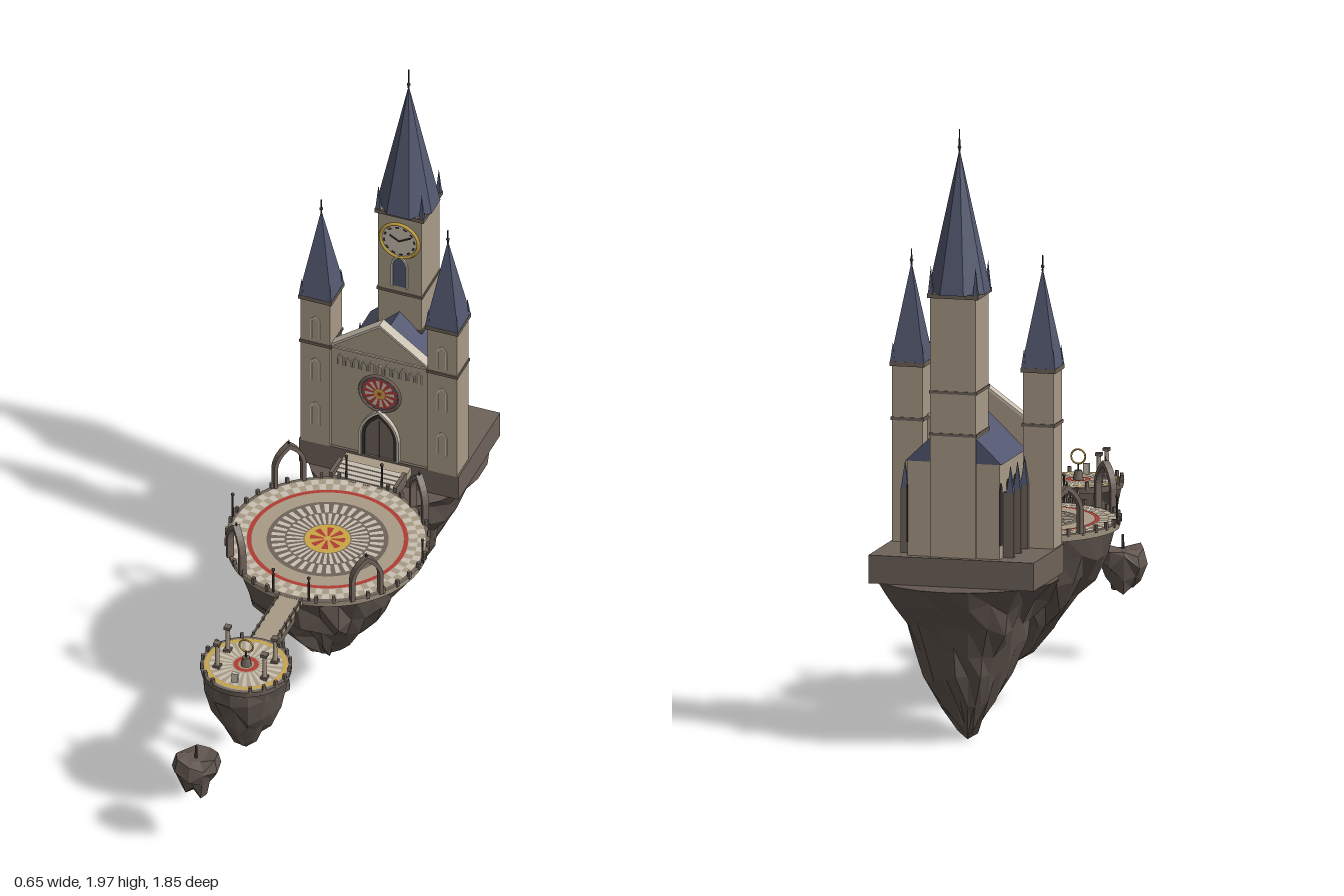
import * as THREE from 'three';
import { mergeGeometries } from 'three/addons/utils/BufferGeometryUtils.js';

const mat = (name, color, side = THREE.FrontSide) => {
  const m = new THREE.MeshStandardMaterial({ color, side });
  m.name = name;
  return m;
};
const stone = mat('tan stone', 0xa99c87);
const light = mat('pale stone', 0xc9c0b1);
const trim = mat('brown stone', 0x6f635a);
const rock = mat('rock', 0x625750);
const slate = mat('slate', 0x535870);
const red = mat('red', 0xb03c34);
const gold = mat('gold', 0xc9a545);
const dark = mat('dark iron', 0x35312f);

function add(parent, name, geo, material, x = 0, y = 0, z = 0) {
  const m = new THREE.Mesh(geo, material);
  m.name = name;
  m.position.set(x, y, z);
  parent.add(m);
  return m;
}
function group(parent, name, x = 0, y = 0, z = 0) {
  const g = new THREE.Group();
  g.name = name;
  g.position.set(x, y, z);
  parent.add(g);
  return g;
}
// Box given by its bottom centre
const box = (w, h, d) => new THREE.BoxGeometry(w, h, d).translate(0, h / 2, 0);
const cyl = (rt, rb, h, n = 8) => new THREE.CylinderGeometry(rt, rb, h, n).translate(0, h / 2, 0);
function faceted(geo) {
  const g = geo.toNonIndexed();
  g.computeVertexNormals();
  return g;
}
const cone = (r, h, n = 8, turn = 0) => faceted(new THREE.ConeGeometry(r, h, n).rotateY(turn).translate(0, h / 2, 0));

// Jagged hanging rock from a bottom-to-top profile; the top rim stays round
function hangingRock(profile, n, seed, rough) {
  const pts = [...profile.map(p => new THREE.Vector2(...p)), new THREE.Vector2(0, profile.at(-1)[1])];
  const geo = new THREE.LatheGeometry(pts, n), p = geo.attributes.position;
  const rnd = (a, b) => { const s = Math.sin(a * 127.1 + b * 311.7 + seed * 74.7) * 43758.5; return s - Math.floor(s) - 0.5; };
  for (let i = 0; i < p.count; i++) {
    const j = i % pts.length, k = Math.floor(i / pts.length) % n;
    if (j === 0 || j >= pts.length - 2) continue;
    const f = 1 + rough * (rnd(k, j) + 0.6 * rnd(Math.floor(k / 3), 50));
    p.setXYZ(i, p.getX(i) * f, p.getY(i) + rnd(k, j + 20) * 0.045, p.getZ(i) * f);
  }
  return faceted(geo);
}

// Flat rings and radial tiles for paving
const ring = (r0, r1, n = 64) => new THREE.RingGeometry(r0, r1, n);
function tiles(r0, r1, count, phase = 0) {
  const step = Math.PI * 2 / count;
  return mergeGeometries(Array.from({ length: count }, (_, i) =>
    new THREE.RingGeometry(r0, r1, 2, 1, (i + phase) * step, step / 2)));
}
const flat = (g, name, geo, material, y) => add(g, name, geo.rotateX(-Math.PI / 2), material, 0, y);

// Pointed arches: filled panel and open frame
function lancet(w, h) {
  const s = new THREE.Shape(), k = h - w * 1.5;
  s.moveTo(-w, 0);
  s.lineTo(w, 0);
  s.lineTo(w, k);
  s.quadraticCurveTo(w * 0.9, k + w * 0.9, 0, h);
  s.quadraticCurveTo(-w * 0.9, k + w * 0.9, -w, k);
  return s;
}
function archFrame(w, h, t, depth) {
  const s = new THREE.Shape(), v = w - t, k = h - w * 1.5, top = h - t * 1.4;
  s.moveTo(-w, 0);
  s.lineTo(-v, 0);
  s.lineTo(-v, k);
  s.quadraticCurveTo(-v * 0.9, k + v * 0.9, 0, top);
  s.quadraticCurveTo(v * 0.9, k + v * 0.9, v, k);
  s.lineTo(v, 0);
  s.lineTo(w, 0);
  s.lineTo(w, k);
  s.quadraticCurveTo(w * 0.9, k + w * 0.9, 0, h);
  s.quadraticCurveTo(-w * 0.9, k + w * 0.9, -w, k);
  return new THREE.ExtrudeGeometry(s, { depth, bevelEnabled: false, curveSegments: 6 });
}
const extrude = (s, depth) => new THREE.ExtrudeGeometry(s, { depth, bevelEnabled: false, curveSegments: 6 });
const poly = pts => new THREE.Shape(pts.map(p => new THREE.Vector2(...p)));

// Steep spire with corner pinnacles and finial
function spire(parent, x, y, z, r, h, n, half) {
  const g = group(parent, 'spire', x, y, z);
  add(g, 'cornice', box(half * 2 + 0.012, 0.014, half * 2 + 0.012), trim, 0, -0.012);
  add(g, 'spireRoof', cone(r, h, n, Math.PI / n), slate);
  add(g, 'finial', cyl(0.002, 0.003, h * 0.16, 6), dark, 0, h - 0.01);
  add(g, 'finialBall', new THREE.SphereGeometry(0.006, 8, 6), dark, 0, h + 0.005);
  for (const sx of [-1, 1]) for (const sz of [-1, 1])
    add(g, 'pinnacle', cone(0.011, h * 0.2, 4, Math.PI / 4), slate, sx * half * 0.95, 0, sz * half * 0.95);
}

function cathedral(root) {
  const c = group(root, 'cathedral');
  add(c, 'plinth', box(0.54, 0.09, 0.355), trim, 0, 0.527, -0.653);
  // Nave and gabled roof
  add(c, 'nave', box(0.3, 0.31, 0.3), stone, 0, 0.615, -0.65);
  add(c, 'naveRoof', extrude(poly([[-0.157, 0.92], [0.157, 0.92], [0, 1.07]]), 0.3), slate, 0, 0, -0.802);
  for (const s of [-1, 1]) for (const z of [-0.585, -0.668, -0.75]) {
    add(c, 'buttress', box(0.034, 0.21, 0.018), trim, s * 0.167, 0.615, z);
    add(c, 'buttressCap', cone(0.016, 0.09, 4, Math.PI / 4), slate, s * 0.172, 0.822, z);
    add(c, 'naveWindow', extrude(lancet(0.013, 0.2), 0.004).rotateY(s * Math.PI / 2), dark, s * 0.149, 0.66, z - 0.04);
  }
  // Front wall with gable
  add(c, 'frontWall', extrude(poly([[-0.17, 0.615], [0.17, 0.615], [0.17, 1.01], [0, 1.13], [-0.17, 1.01]]), 0.03), stone, 0, 0, -0.515);
  for (const s of [-1, 1])
    add(c, 'gableCoping', extrude(poly(s > 0 ? [[0.165, 1.008], [0.165, 1.018], [0, 1.138], [0, 1.128]]
      : [[-0.165, 1.008], [0, 1.128], [0, 1.138], [-0.165, 1.018]]), 0.036), light, 0, 0, -0.517);
  add(c, 'wallBand', box(0.33, 0.006, 0.006), light, 0, 1.006, -0.483);
  for (let i = 0; i < 11; i++)
    add(c, 'arcadeArch', archFrame(0.011, i % 2 ? 0.034 : 0.042, 0.004, 0.005), light, (i - 5) * 0.0265, 0.945, -0.486);
  // Rose window
  const rose = group(c, 'roseWindow', 0, 0.865, -0.484);
  add(rose, 'roseFrame', new THREE.TorusGeometry(0.067, 0.006, 6, 32), trim);
  add(rose, 'roseGlass', new THREE.CircleGeometry(0.066, 32), red, 0, 0, 0.001);
  add(rose, 'roseTracery', tiles(0.022, 0.05, 12), light, 0, 0, 0.0025);
  add(rose, 'roseBorder', tiles(0.053, 0.062, 16), slate, 0, 0, 0.0025);
  add(rose, 'roseHub', ring(0.008, 0.02, 16), gold, 0, 0, 0.003);
  // Portal
  add(c, 'portalDoor', extrude(lancet(0.05, 0.155), 0.004), trim, 0, 0.616, -0.486);
  add(c, 'portalArch', archFrame(0.068, 0.187, 0.008, 0.016), light, 0, 0.616, -0.486);
  add(c, 'portalInnerArch', archFrame(0.058, 0.17, 0.009, 0.01), dark, 0, 0.616, -0.486);
  add(c, 'doorSeam', box(0.004, 0.14, 0.003), dark, 0, 0.616, -0.481);
  // Flanking towers
  for (const s of [-1, 1]) {
    const t = group(c, 'sideTower', s * 0.214, 0, -0.525);
    add(t, 'towerBody', box(0.1, 0.575, 0.1), stone, 0, 0.615);
    add(t, 'towerBand', box(0.107, 0.01, 0.107), trim, 0, 1.005);
    for (const y of [0.69, 0.865, 1.03])
      add(t, 'towerWindow', archFrame(0.017, 0.09, 0.005, 0.005), light, 0, y, 0.048);
    spire(t, 0, 1.19, 0, 0.078, 0.315, 4, 0.05);
  }
  // Clock tower
  const k = group(c, 'clockTower', 0, 0, -0.731);
  add(k, 'clockTowerBody', box(0.148, 0.845, 0.154), stone, 0, 0.615);
  for (const y of [1.005, 1.14]) add(k, 'clockTowerBand', box(0.155, 0.009, 0.161), trim, 0, y);
  add(k, 'belfryWindow', extrude(lancet(0.022, 0.115), 0.004), slate, 0, 1.17, 0.075);
  add(k, 'belfryFrame', archFrame(0.028, 0.128, 0.006, 0.008), light, 0, 1.167, 0.075);
  add(k, 'clockFace', new THREE.CircleGeometry(0.062, 32), light, 0, 1.352, 0.08);
  add(k, 'clockRim', new THREE.TorusGeometry(0.064, 0.006, 6, 32), gold, 0, 1.352, 0.079);
  add(k, 'hourMarks', tiles(0.048, 0.055, 12), dark, 0, 1.352, 0.0815);
  for (const [a, l] of [[1.05, 0.036], [-1.05, 0.046]])
    add(k, 'clockHand', box(0.005, l, 0.002), dark, 0, 1.352, 0.083).rotation.z = a;
  spire(k, 0, 1.457, 0, 0.1, 0.455, 8, 0.077);
}

function lampPost(parent, x, y, z, h = 0.09) {
  add(parent, 'lampPost', cyl(0.003, 0.004, h, 6), dark, x, y, z);
  add(parent, 'lamp', new THREE.SphereGeometry(0.006, 8, 6), dark, x, y + h, z);
}
// Ring of low posts around a round terrace
function parapet(g, r, n, y, gap) {
  for (let i = 0; i < n; i++) {
    const a = (i + 0.5) / n * Math.PI * 2, x = r * Math.sin(a);
    if (Math.abs(x) > gap) add(g, 'parapetPost', box(0.01, 0.026, 0.01), trim, x, y, r * Math.cos(a)).rotation.y = a;
  }
}

function plaza(root) {
  const p = group(root, 'plaza', 0, 0, -0.037);
  add(p, 'plazaDeck', cyl(0.322, 0.318, 0.022, 64), stone, 0, 0.585);
  flat(p, 'deckEdge', ring(0.309, 0.322), trim, 0.6085);
  flat(p, 'checkerOuter', tiles(0.283, 0.308, 40), light, 0.6085);
  flat(p, 'checkerInner', tiles(0.256, 0.283, 40, 0.5), light, 0.6085);
  flat(p, 'redRing', ring(0.24, 0.254), red, 0.6085);
  flat(p, 'mosaicBed', new THREE.CircleGeometry(0.192, 64), trim, 0.6085);
  flat(p, 'outerRays', tiles(0.135, 0.178, 36), light, 0.61);
  flat(p, 'innerRays', tiles(0.076, 0.13, 36, 0.5), light, 0.61);
  flat(p, 'sunDisc', new THREE.CircleGeometry(0.073, 40), gold, 0.61);
  flat(p, 'sunRays', tiles(0.012, 0.056, 8), red, 0.6115);
  parapet(p, 0.319, 36, 0.6, 0.07);
  for (const sx of [-1, 1]) {
    lampPost(p, sx * 0.321, 0.605, 0);
    for (const sz of [-1, 1]) {
      lampPost(p, sx * 0.06, 0.605, sz * 0.313);
      // Free-standing arches face the centre
      const a = group(p, 'gardenArch', sx * 0.22, 0.606, sz * 0.226);
      a.rotation.y = Math.atan2(sx, sz);
      add(a, 'archFrame', archFrame(0.055, 0.16, 0.013, 0.022), trim, 0, 0, -0.011);
      add(a, 'archTip', cone(0.005, 0.02, 4), dark, 0, 0.155);
    }
  }
}

function terrace(root) {
  const t = group(root, 'smallTerrace', 0, 0, 0.66);
  add(t, 'terraceDeck', cyl(0.145, 0.142, 0.02, 40), trim, 0, 0.59);
  flat(t, 'terracePaving', new THREE.CircleGeometry(0.134, 40), stone, 0.6115);
  flat(t, 'goldRing', ring(0.118, 0.13, 40), gold, 0.613);
  flat(t, 'terraceRays', tiles(0.045, 0.115, 24), light, 0.613);
  flat(t, 'terraceRedRing', ring(0.025, 0.04, 32), red, 0.613);
  parapet(t, 0.14, 20, 0.602, 0.045);
  for (const sx of [-1, 1]) for (const sz of [-1, 1]) {
    const c = group(t, 'column', sx * 0.08, 0.611, sz * 0.045);
    add(c, 'columnBase', box(0.022, 0.01, 0.022), trim);
    add(c, 'columnShaft', cyl(0.007, 0.008, 0.08), stone, 0, 0.01);
    add(c, 'columnCap', box(0.021, 0.01, 0.021), trim, 0, 0.088);
  }
  add(t, 'pedestal', cyl(0.012, 0.018, 0.03), trim, 0, 0.611);
  add(t, 'dialStem', cyl(0.003, 0.003, 0.025, 6), dark, 0, 0.64);
  add(t, 'dialRing', new THREE.TorusGeometry(0.023, 0.003, 6, 24), gold, 0, 0.685);
  add(t, 'bench', box(0.02, 0.035, 0.012), light, 0, 0.611, 0.095);
}

export function createModel() {
  const root = new THREE.Group();
  root.name = 'floatingCathedral';
  // Floating islands
  add(root, 'cathedralRock', hangingRock([[0, 0.008], [0.035, 0.05], [0.085, 0.13], [0.135, 0.22], [0.17, 0.31], [0.205, 0.39], [0.25, 0.46], [0.29, 0.527]], 22, 1, 0.22), rock, 0, 0, -0.638);
  add(root, 'plazaRock', hangingRock([[0, 0.155], [0.05, 0.2], [0.11, 0.27], [0.175, 0.35], [0.225, 0.43], [0.26, 0.51], [0.305, 0.586]], 24, 2, 0.22), rock, 0, 0, -0.037);
  add(root, 'terraceRock', hangingRock([[0, 0.285], [0.04, 0.325], [0.075, 0.4], [0.105, 0.47], [0.125, 0.54], [0.138, 0.592]], 15, 3, 0.22), rock, 0, 0, 0.66);
  add(root, 'looseRock', hangingRock([[0, 0.235], [0.038, 0.24], [0.055, 0.28], [0.075, 0.325], [0.066, 0.352], [0.03, 0.36]], 9, 4, 0.12), rock, -0.09, 0, 0.855);
  add(root, 'looseRockPost', cyl(0.004, 0.005, 0.05, 6), dark, -0.09, 0.355, 0.86);
  cathedral(root);
  plaza(root);
  terrace(root);
  // Steps up to the cathedral
  add(root, 'landing', box(0.22, 0.028, 0.14), stone, 0, 0.58, -0.41);
  for (let i = 0; i < 4; i++) add(root, 'step', box(0.2, 0.004, 0.075 - i * 0.018), light, 0, 0.608 + i * 0.003, -0.385 - i * 0.009);
  for (const s of [-1, 1]) add(root, 'stepWall', box(0.012, 0.045, 0.085), trim, s * 0.108, 0.582, -0.38);
  // Bridge with posts, beam and hanging rock spikes
  add(root, 'bridgeDeck', box(0.08, 0.018, 0.26), stone, 0, 0.588, 0.4);
  for (const s of [-1, 1]) {
    add(root, 'bridgeRail', box(0.005, 0.005, 0.24), trim, s * 0.038, 0.609, 0.4);
    for (let i = 0; i < 6; i++) add(root, 'bridgePost', box(0.008, 0.026, 0.008), trim, s * 0.038, 0.59, 0.3 + i * 0.04);
  }
  add(root, 'bridgeBeam', box(0.055, 0.05, 0.19), trim, 0, 0.538, 0.405);
  for (const z of [0.36, 0.45]) add(root, 'bridgeSpike', faceted(cyl(0.006, 0.03, 0.235, 8)), rock, 0, 0.305, z);
  return root;
}
